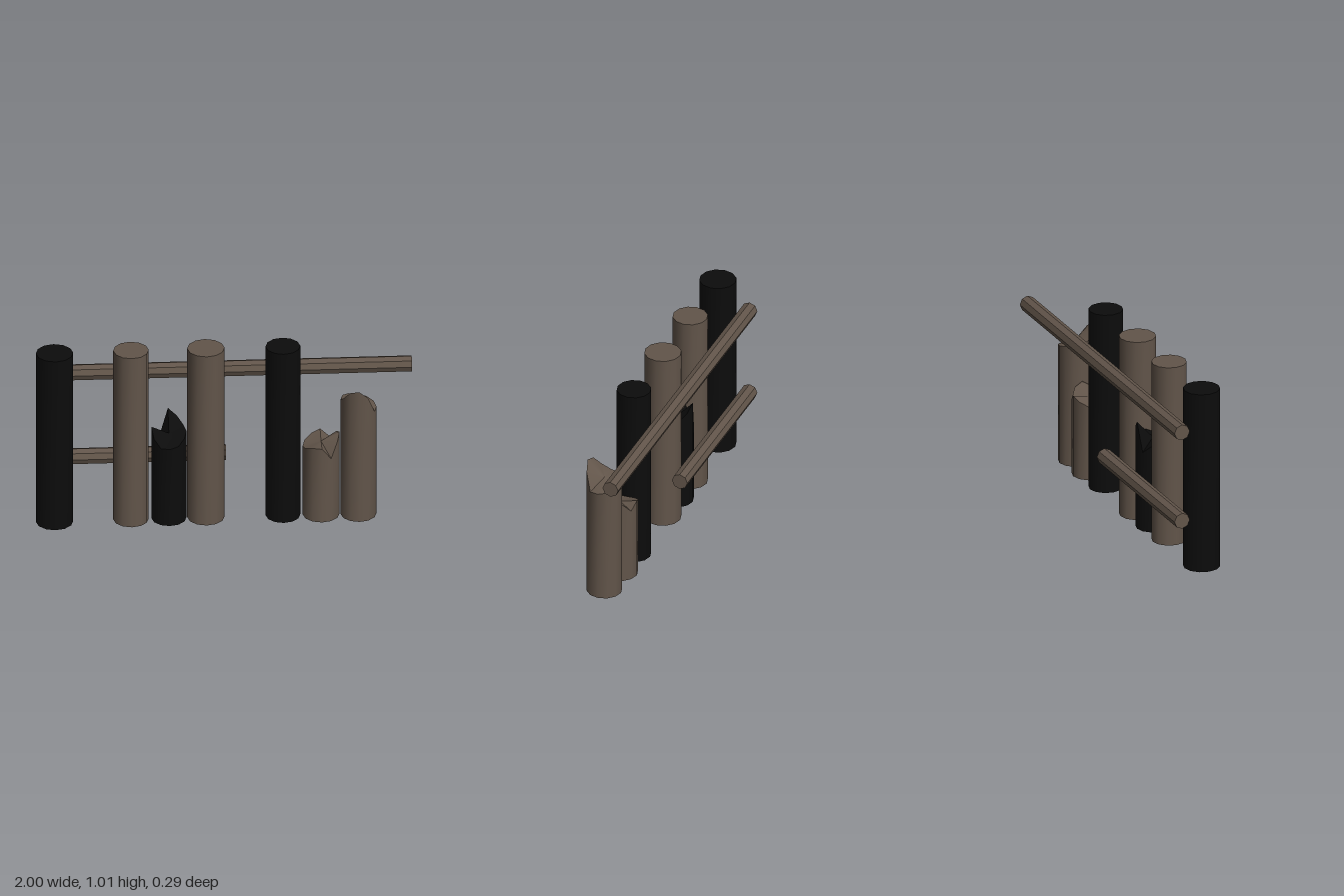
import * as THREE from 'three';
import { toCreasedNormals } from 'three/addons/utils/BufferGeometryUtils.js';

const SIDES = 12;

export function createModel() {
  const group = new THREE.Group();
  const wood = new THREE.MeshStandardMaterial({ color: 0x62554a });
  wood.name = 'weathered wood';
  const charred = new THREE.MeshStandardMaterial({ color: 0x0c0c0c });
  charred.name = 'charred wood';

  const add = (name, geometry, material) => {
    const mesh = new THREE.Mesh(toCreasedNormals(geometry, 0.6), material);
    mesh.name = name;
    group.add(mesh);
    return mesh;
  };

  // Post: a number gives a flat top; a list gives the rim heights of a
  // splintered top, starting at the front and turning towards +x.
  const addPost = (name, x, z, radius, top, material) => {
    const rim = Array.isArray(top) ? top : Array(SIDES).fill(top);
    const mean = rim.reduce((a, b) => a + b, 0) / SIDES;
    const geo = new THREE.CylinderGeometry(radius, radius, 1, SIDES);
    const p = geo.attributes.position;
    for (let i = 0; i < p.count; i++) {
      const px = p.getX(i), pz = p.getZ(i);
      const k = Math.round(Math.atan2(px, pz) / (2 * Math.PI) * SIDES + SIDES) % SIDES;
      const h = Math.hypot(px, pz) < 1e-4 ? mean : rim[k];
      p.setY(i, p.getY(i) > 0 ? h : 0);
    }
    add(name, geo, material).position.set(x, 0, z);
  };

  // Whole posts
  addPost('charredEndPost', -0.9, 0.045, 0.099, 1.013, charred);
  addPost('post', -0.495, 0.04, 0.094, 1.015, wood);
  addPost('middlePost', -0.098, 0.037, 0.099, 1.015, wood);
  addPost('charredPost', 0.31, 0.038, 0.092, 1.015, charred);

  // Broken posts with splintered tops
  addPost('brokenCharredPost', -0.294, 0.038, 0.093,
    [0.46, 0.47, 0.5, 0.52, 0.53, 0.57, 0.61, 0.45, 0.49, 0.55, 0.5, 0.46], charred);
  addPost('shortBrokenPost', 0.512, 0.038, 0.098,
    [0.44, 0.375, 0.46, 0.49, 0.47, 0.42, 0.46, 0.44, 0.42, 0.41, 0.42, 0.44], wood);
  addPost('tallBrokenPost', 0.71, 0.046, 0.095,
    [0.78, 0.735, 0.637, 0.64, 0.65, 0.66, 0.67, 0.68, 0.69, 0.69, 0.72, 0.77], wood);

  // Rails along the back; the lower one is snapped short
  const addRail = (name, x0, x1, y) => {
    const geo = new THREE.CylinderGeometry(0.044, 0.044, x1 - x0, 8);
    geo.rotateZ(Math.PI / 2);
    add(name, geo, wood).position.set((x0 + x1) / 2, y, -0.104);
  };
  addRail('upperRail', -0.98, 1.0, 0.813);
  addRail('lowerRail', -0.98, 0.015, 0.308);

  return group;
}
